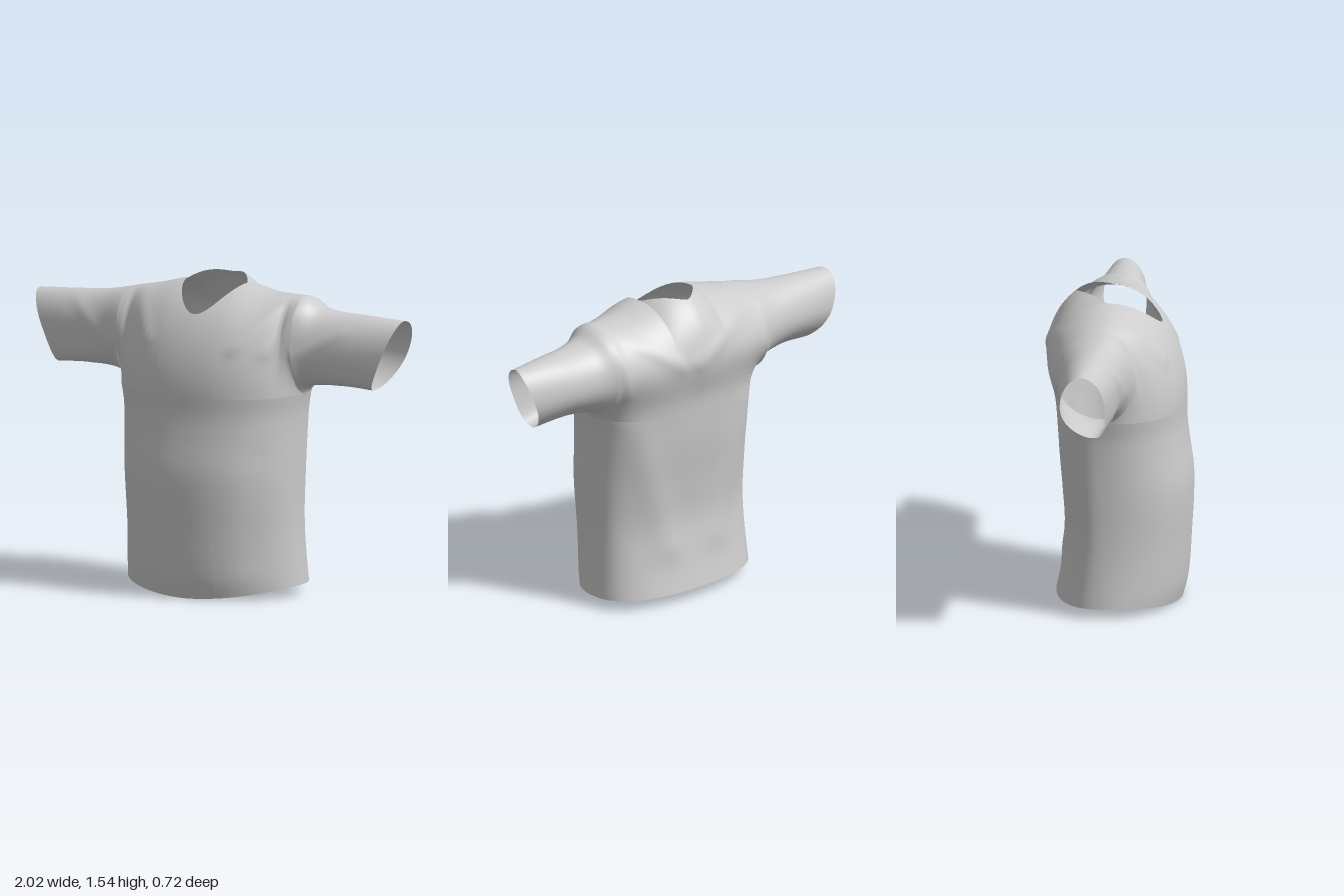
import * as THREE from 'three';

// smooth curve through [key, value] pairs
function curve(...p) {
  const slope = (i) => {
    const a = p[Math.max(i - 1, 0)], b = p[Math.min(i + 1, p.length - 1)];
    return (b[1] - a[1]) / (b[0] - a[0]);
  };
  return (k) => {
    if (k <= p[0][0]) return p[0][1];
    if (k >= p[p.length - 1][0]) return p[p.length - 1][1];
    let i = 0;
    while (k > p[i + 1][0]) i++;
    const h = p[i + 1][0] - p[i][0], t = (k - p[i][0]) / h, t2 = t * t, t3 = t2 * t;
    return (2 * t3 - 3 * t2 + 1) * p[i][1] + (t3 - 2 * t2 + t) * h * slope(i)
      + (3 * t2 - 2 * t3) * p[i + 1][1] + (t3 - t2) * h * slope(i + 1);
  };
}

const ARM = 0.48, NECK = 0.16, SEAM = 1.0;
const { clamp, lerp, smoothstep } = THREE.MathUtils;

// body profiles by height
const halfWidth = curve([0, 0.468], [0.3, 0.452], [0.6, 0.455], [0.9, 0.464], [1, ARM]);
const frontZ = curve([0, 0.31], [0.1, 0.335], [0.3, 0.35], [0.6, 0.36], [0.8, 0.335], [0.9, 0.325], [1, 0.325]);
const backZ = curve([0.05, -0.3], [0.2, -0.27], [0.4, -0.245], [0.6, -0.26], [0.8, -0.285], [1, -0.3]);
const frontRoundness = curve([0, 1.8], [0.3, 2], [0.6, 2.2], [1, 2.25]);

// shoulder and sleeve profiles by distance from the middle
const midZ = curve([0, -0.04], [ARM, -0.04], [0.7, -0.065], [1, -0.08]);
const topLeft = curve([0, 1.53], [0.16, 1.515], [0.3, 1.485], [0.42, 1.478], [0.5, 1.472], [0.56, 1.43], [0.65, 1.41], [0.8, 1.402], [1, 1.39]);
const topRight = curve([0, 1.53], [0.16, 1.515], [0.3, 1.482], [0.42, 1.458], [0.5, 1.44], [0.6, 1.42], [0.75, 1.405], [1, 1.39]);
const underY = curve([0, SEAM], [ARM, SEAM], [0.505, 1.028], [0.6, 1.048], [0.8, 1.055], [1, 1.045]);
const yokeFront = curve([0, 0.325], [0.2, 0.3], [0.3, 0.25], [0.4, 0.17], [ARM, 0.12], [0.6, 0.08], [0.8, 0.055], [1, 0.03]);
const yokeBack = curve([0, -0.355], [0.2, -0.34], [0.4, -0.295], [ARM, -0.265], [0.6, -0.235], [0.8, -0.21], [1, -0.185]);

// cloth folds: side, start x y, end x y, width, height
const folds = [
  [1, 0.42, 1.46, 0.24, 1.24, 0.03, 0.012], [1, 0.5, 1.45, 0.38, 1.22, 0.03, 0.014],
  [1, -0.36, 1.46, -0.24, 1.26, 0.03, 0.013], [1, -0.75, 1.38, -0.54, 1.16, 0.03, 0.01],
  [1, 0.72, 1.33, 0.5, 1.2, 0.03, 0.01], [1, 0.38, 0.7, 0.33, 0.2, 0.06, -0.01],
  [-1, -0.3, 1.4, 0.05, 1.25, 0.04, 0.01], [-1, 0.35, 1.4, 0.15, 1.25, 0.04, 0.01],
  [-1, 0.36, 0.9, 0.16, 0.3, 0.09, 0.014], [-1, -0.36, 0.9, -0.16, 0.3, 0.09, 0.014],
  [-1, 0.48, 1.42, 0.44, 1.15, 0.03, 0.01], [-1, -0.48, 1.42, -0.44, 1.15, 0.03, 0.01],
];
function foldAt(side, x, y) {
  let sum = 0;
  for (const [s, x1, y1, x2, y2, w, amp] of folds) {
    if (s !== side) continue;
    const dx = x2 - x1, dy = y2 - y1;
    const t = clamp(((x - x1) * dx + (y - y1) * dy) / (dx * dx + dy * dy), 0, 1);
    const d = Math.hypot(x - x1 - t * dx, y - y1 - t * dy) / w;
    sum += amp * Math.exp(-d * d);
  }
  return sum * side;
}

// share of the body depth at s = x / half width
function ring(s, side, y) {
  const n = side > 0 ? frontRoundness(y) : 2.5;
  return Math.pow(Math.max(0, 1 - Math.pow(Math.min(1, Math.abs(s)), n)), 1 / n);
}

// body point from hem (v = 0) to chest seam (v = 1)
function bodyPoint(X, side, v) {
  const s = X / ARM;
  const hem = side > 0 ? 0.052 * Math.pow(Math.abs(s), 1.8) : 0.052;
  const y = hem + (SEAM - hem) * v, x = s * halfWidth(y), r = ring(s, side, y);
  const depth = (side > 0 ? frontZ(y) : backZ(y)) - midZ(0);
  return [x, y, midZ(Math.abs(X)) + (depth + foldAt(side, x, y)) * r];
}

// yoke or sleeve point from seam (v = 0) to shoulder or neck edge (v = 1)
function yokePoint(X, side, v) {
  const ax = Math.abs(X), mid = midZ(ax);
  const depth = side * ((side > 0 ? frontZ(SEAM) : backZ(SEAM)) - midZ(0));
  const r = ax >= ARM - 1e-6 ? 0 : ring(X / ARM, side, SEAM), R = depth * r;
  const W = Math.max(R, side * ((side > 0 ? yokeFront(ax) : yokeBack(ax)) - mid));
  const start = -Math.acos(R / W);
  let end = Math.PI / 2, top = X > 0 ? topLeft(ax) : topRight(ax);
  if (ax < NECK - 1e-6) {
    const k = ax / NECK;
    const edge = side > 0 ? 0.25 * Math.pow(1 - Math.pow(k, 1.9), 0.6) : 0.17 * Math.pow(1 - Math.pow(k, 1.4), 0.8);
    end = Math.acos(Math.min(1, edge / W));
    if (side < 0) top += 0.06 * (1 - k * k);
  }
  const a = start + (end - start) * v, sin = Math.sin(a), cos = Math.cos(a);
  const under = underY(ax), H = (top - under) / (1 - Math.sin(start));
  const y = top - H + H * sin;
  // the bulge over the chest seam grows gently from the body
  const bulge = Math.max(0, W * cos - R) * lerp(1, smoothstep(v, 0, 0.45), R / W);
  const z = Math.min(R, W * cos) + bulge;
  // the cuff is cut at a slant, longer behind, and its lower edge swings forward
  const t = Math.max(0, (ax - ARM) / (1 - ARM));
  const cut = 0.14 * (1 - sin) / 2 - (side < 0 ? 0.035 * cos : 0);
  const x = X - Math.sign(X) * t * cut;
  const swing = 0.05 * Math.min(1, t * 2) * Math.pow(Math.max(0, -sin), 2);
  return [x, y, mid + side * z + swing + foldAt(side, x, y) * lerp(r, cos, v)];
}

export function createModel() {
  const group = new THREE.Group();
  group.name = 'shirt';

  // columns across one half, closer together at the neck and the armhole
  const half = [];
  for (let i = 0; i <= 10; i++) half.push(NECK * Math.sin(i / 10 * Math.PI / 2));
  for (let i = 1; i <= 18; i++) half.push(NECK + (ARM - NECK) * Math.sin(i / 18 * Math.PI / 2));
  for (let i = 1; i <= 24; i++) half.push(ARM + (1 - ARM) * i / 24);
  const columns = [...half.slice(1).reverse().map((x) => -x), ...half];

  // one shared skin, so that shading runs smoothly from part to part
  const positions = [], lookup = new Map();
  const vertex = (p) => {
    const key = p.map((c) => Math.round(c * 1e5)).join();
    if (!lookup.has(key)) {
      lookup.set(key, positions.length / 3);
      positions.push(...p);
    }
    return lookup.get(key);
  };
  const parts = { body: [], yoke: [], leftSleeve: [], rightSleeve: [] };
  const panel = (list, point, x0, x1, side, rows) => {
    for (let j = 0; j < rows; j++) {
      const [a, b, c, d] = [[x0, j], [x1, j], [x1, j + 1], [x0, j + 1]]
        .map(([x, row]) => vertex(point(x, side, row / rows)));
      const tris = side > 0 ? [[a, b, c], [a, c, d]] : [[a, c, b], [a, d, c]];
      for (const t of tris) if (new Set(t).size === 3) list.push(...t);
    }
  };
  for (let i = 0; i < columns.length - 1; i++) {
    const x0 = columns[i], x1 = columns[i + 1], m = (x0 + x1) / 2;
    for (const side of [1, -1]) {
      if (Math.abs(m) < ARM) panel(parts.body, bodyPoint, x0, x1, side, 36);
      const name = m > ARM ? 'leftSleeve' : m < -ARM ? 'rightSleeve' : 'yoke';
      panel(parts[name], yokePoint, x0, x1, side, 32);
    }
  }

  const skin = new THREE.BufferGeometry();
  skin.setAttribute('position', new THREE.Float32BufferAttribute(positions, 3));
  skin.setIndex(Object.values(parts).flat());
  skin.computeVertexNormals();

  const material = new THREE.MeshStandardMaterial({ color: 0xcccccc, side: THREE.DoubleSide });
  for (const [name, index] of Object.entries(parts)) {
    const geometry = new THREE.BufferGeometry();
    geometry.setAttribute('position', skin.attributes.position);
    geometry.setAttribute('normal', skin.attributes.normal);
    geometry.setIndex(index);
    const mesh = new THREE.Mesh(geometry, material);
    mesh.name = name;
    group.add(mesh);
  }
  return group;
}
